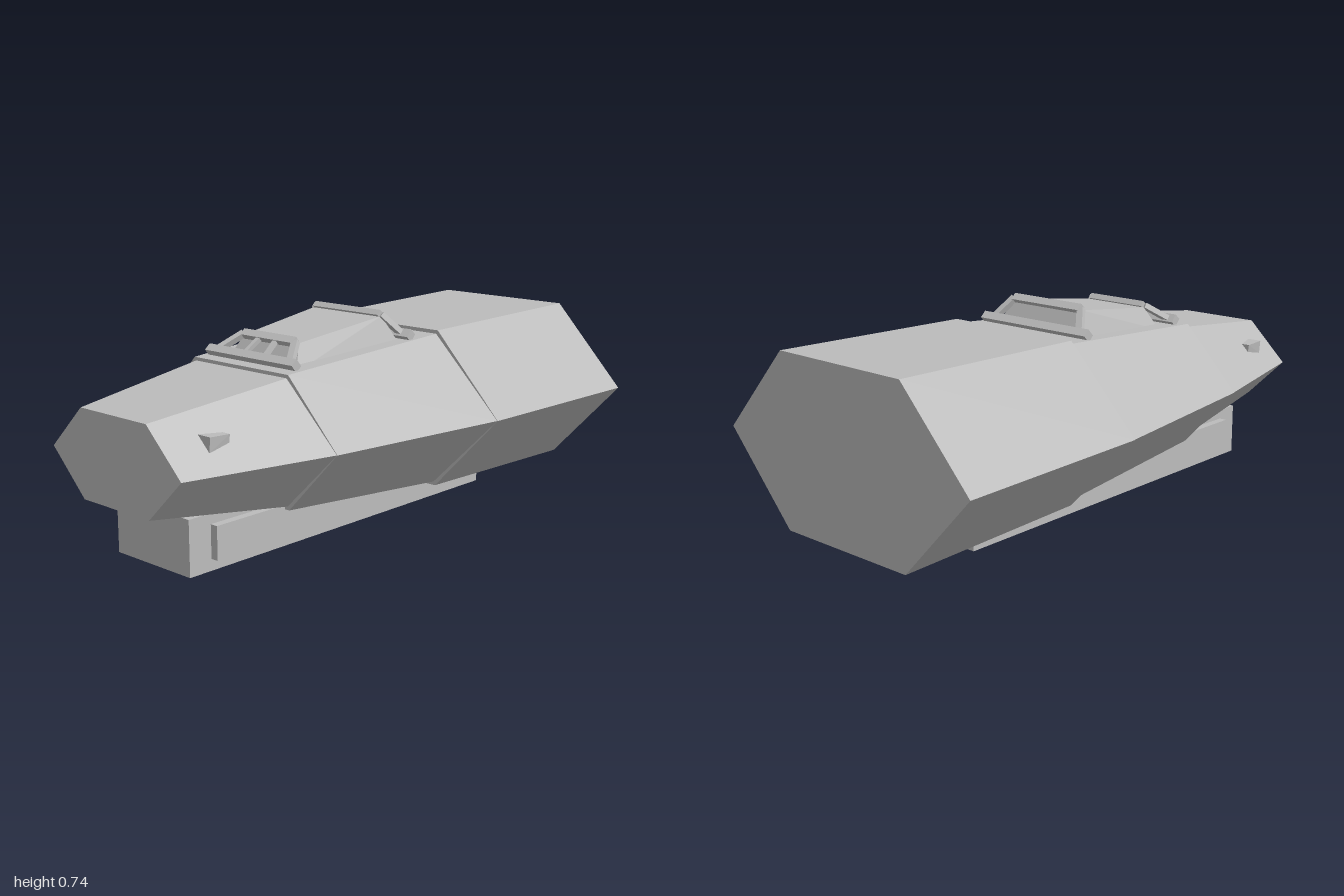
import * as THREE from 'three';
import { ConvexGeometry } from 'three/addons/geometries/ConvexGeometry.js';

const V = (x, y, z) => new THREE.Vector3(x, y, z);

export function createModel() {
  const model = new THREE.Group();
  const hullGrey = new THREE.MeshStandardMaterial({ color: 0xbcbcbc, flatShading: true });
  hullGrey.name = 'hull grey';

  const add = (name, geometry) => {
    const mesh = new THREE.Mesh(geometry, hullGrey);
    mesh.name = name;
    model.add(mesh);
    return mesh;
  };
  const convex = (name, points) => add(name, new ConvexGeometry(points));
  const box = (name, w, h, d, x, y, z) => add(name, new THREE.BoxGeometry(w, h, d)).position.set(x, y, z);

  // Square bar from a to b; "out" sets the direction its thickness faces
  const beam = (name, a, b, out, width, thick) => {
    const along = b.clone().sub(a);
    const len = along.length();
    along.normalize();
    const side = out.clone().cross(along).normalize();
    const normal = along.clone().cross(side);
    const mesh = add(name, new THREE.BoxGeometry(len, width, thick));
    mesh.quaternion.setFromRotationMatrix(new THREE.Matrix4().makeBasis(along, side, normal));
    mesh.position.copy(a).add(b).multiplyScalar(0.5);
  };

  // Hexagonal cross-section: half width, half width of the flat top, half height
  const MID = 0.367;
  const hex = ([z, half, flat, h]) => [
    V(half, MID, z), V(flat, MID + h, z), V(-flat, MID + h, z),
    V(-half, MID, z), V(-flat, MID - h, z), V(flat, MID - h, z),
  ];

  // Hull in three sections with a small step at each joint
  const sections = {
    noseHull: [[1, 0.315, 0.16, 0.15], [0.47, 0.44, 0.219, 0.215]],
    middleHull: [[0.47, 0.442, 0.226, 0.227], [-0.24, 0.54, 0.263, 0.274]],
    rearHull: [[-0.24, 0.542, 0.27, 0.287], [-1, 0.563, 0.28, 0.301]],
  };
  for (const [name, [front, back]] of Object.entries(sections)) convex(name, [...hex(front), ...hex(back)]);

  // Belly block with a raised panel along each side
  box('bellyBlock', 0.356, 0.19, 1.475, 0, 0.095, 0.1225);
  for (const s of [1, -1]) box('bellySidePanel', 0.05, 0.115, 1.295, s * 0.182, 0.0975, 0.1225);

  // Canopy with sloping sides and ends
  const canopy = [];
  for (const s of [1, -1]) {
    canopy.push(V(s * 0.13, 0.665, 0.325), V(s * 0.16, 0.715, -0.06));
    canopy.push(V(s * 0.168, 0.58, 0.37), V(s * 0.205, 0.61, -0.11));
  }
  convex('canopy', canopy);

  // Window frames: sill, two legs and a header at each end
  const frame = (name, out, sill, sillX, header, headerX, footX) => {
    beam(name + 'Sill', V(-sillX, ...sill), V(sillX, ...sill), out, 0.03, 0.034);
    beam(name + 'Header', V(-headerX, ...header), V(headerX, ...header), out, 0.028, 0.022);
    for (const s of [1, -1]) {
      beam(name + 'Leg', V(s * footX, ...sill), V(s * headerX, ...header), out, 0.024, 0.02);
    }
  };
  frame('frontWindow', V(0, 0.77, 0.64), [0.613, 0.415], 0.21, [0.67, 0.333], 0.125, 0.18);
  frame('rearWindow', V(0, 0.72, -0.69), [0.647, -0.122], 0.245, [0.719, -0.06], 0.157, 0.205);

  // Windscreen posts
  for (const s of [1, -1]) {
    beam('windscreenPost', V(s * 0.05, 0.613, 0.41), V(s * 0.038, 0.67, 0.333), V(0, 0.77, 0.64), 0.016, 0.014);
  }

  // Small wedge on each side of the nose
  for (const s of [1, -1]) {
    convex('noseWedge', [
      V(s * 0.292, 0.474, 0.865), V(s * 0.21, 0.474, 0.865), V(s * 0.288, 0.425, 0.865),
      V(s * 0.292, 0.47, 0.785), V(s * 0.23, 0.47, 0.785), V(s * 0.288, 0.44, 0.785),
    ]);
  }
  return model;
}
